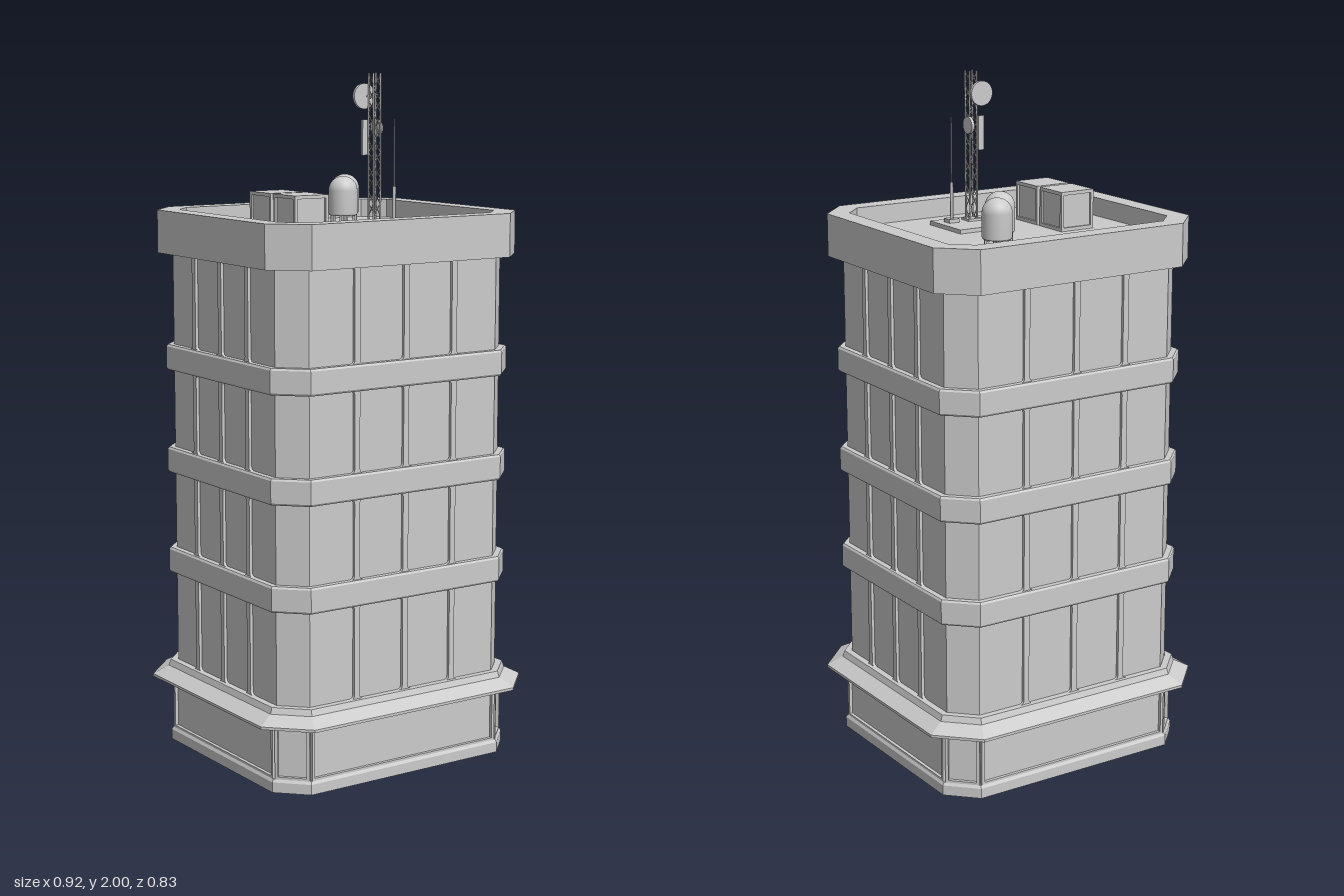
import * as THREE from 'three';

const grey = new THREE.MeshStandardMaterial({ color: 0xcccccc, side: THREE.DoubleSide });
const FLOOR = 1.55; // roof deck height

// Chamfered rectangular footprint, offset outward by d
function ring(d) {
  const x = 0.41 + d, z = 0.365 + d, c = 0.08 + 0.586 * d;
  return [[x, z - c], [x - c, z], [c - x, z], [-x, z - c], [-x, c - z], [c - x, -z], [x - c, -z], [x, c - z]];
}

// Skin through footprint rings; profile is a list of [offset, y]
function shell(profile) {
  const pos = [];
  for (let k = 0; k + 1 < profile.length; k++) {
    const [d0, y0] = profile[k], [d1, y1] = profile[k + 1];
    const lo = ring(d0), hi = ring(d1);
    for (let i = 0; i < 8; i++) {
      const j = (i + 1) % 8;
      const a = [lo[i][0], y0, lo[i][1]], b = [lo[j][0], y0, lo[j][1]];
      const p = [hi[i][0], y1, hi[i][1]], q = [hi[j][0], y1, hi[j][1]];
      pos.push(...a, ...p, ...b, ...b, ...p, ...q);
    }
  }
  const g = new THREE.BufferGeometry();
  g.setAttribute('position', new THREE.Float32BufferAttribute(pos, 3));
  g.computeVertexNormals();
  return g;
}

function add(parent, name, geometry, x = 0, y = 0, z = 0) {
  const m = new THREE.Mesh(geometry, grey);
  m.name = name;
  m.position.set(x, y, z);
  parent.add(m);
  return m;
}

const box = (w, h, d) => new THREE.BoxGeometry(w, h, d);

// Thin round bar between two points
function bar(parent, name, a, b, r) {
  const from = new THREE.Vector3(...a), to = new THREE.Vector3(...b);
  const dir = to.clone().sub(from);
  const m = add(parent, name, new THREE.CylinderGeometry(r, r, dir.length(), 6));
  m.position.copy(from).add(to).multiplyScalar(0.5);
  m.quaternion.setFromUnitVectors(new THREE.Vector3(0, 1, 0), dir.normalize());
}

// Calls fn(faceGroup, width, isLongSide) for each of the eight facades at offset d
function eachFace(parent, name, d, fn) {
  const pts = ring(d);
  pts.forEach(([x0, z0], i) => {
    const [x1, z1] = pts[(i + 1) % 8];
    const g = new THREE.Group();
    g.name = name;
    g.position.set((x0 + x1) / 2, 0, (z0 + z1) / 2);
    g.rotation.y = Math.atan2(z1 - z0, x0 - x1);
    // outward normal of the edge
    g.rotation.y = Math.atan2(z1 - z0, -(x1 - x0));
    parent.add(g);
    fn(g, Math.hypot(x1 - x0, z1 - z0), i % 2 === 1);
  });
}

// Upright fin whose ends flare into rounded window corners
function mullion(h) {
  const w = 0.009, f = 0.02, r = 0.012, s = new THREE.Shape();
  s.moveTo(-f, 0);
  s.lineTo(f, 0);
  s.quadraticCurveTo(w, 0, w, r);
  s.lineTo(w, h - r);
  s.quadraticCurveTo(w, h, f, h);
  s.lineTo(-f, h);
  s.quadraticCurveTo(-w, h, -w, h - r);
  s.lineTo(-w, r);
  s.quadraticCurveTo(-w, 0, -f, 0);
  return new THREE.ExtrudeGeometry(s, { depth: 0.009, bevelEnabled: false, curveSegments: 4 });
}

// Rectangular frame with an open middle
function frame(w, y0, y1, t) {
  const rect = (P, x, a, b) => new P().moveTo(-x, a).lineTo(x, a).lineTo(x, b).lineTo(-x, b).closePath();
  const s = rect(THREE.Shape, w / 2, y0, y1);
  s.holes.push(rect(THREE.Path, w / 2 - t, y0 + t, y1 - t));
  return new THREE.ExtrudeGeometry(s, { depth: 0.01, bevelEnabled: false });
}

function tower(root) {
  // Ground storey, open underneath
  add(root, 'groundFloorWall', shell([[-0.015, 0], [-0.015, 0.2]]));
  add(root, 'plinth', shell([[-0.015, 0], [0, 0], [0, 0.03], [-0.005, 0.038], [-0.015, 0.038]]));
  eachFace(root, 'groundFloorFacade', -0.015, (g, w) => add(g, 'groundFloorFrame', frame(w, 0.036, 0.2, 0.009)));
  add(root, 'canopy', shell([[-0.02, 0.2], [0.05, 0.2], [0.05, 0.208], [0.006, 0.232], [0, 0.25], [-0.02, 0.25]]));

  // Upper storeys with bands and mullions
  add(root, 'upperWall', shell([[-0.021, 0.2], [-0.021, 1.5]]));
  const bands = [[0.523, 0.598], [0.828, 0.903], [1.135, 1.21]];
  for (const [y0, y1] of bands)
    add(root, 'floorBand', shell([[-0.021, y0], [-0.004, y0], [0, y0 + 0.006], [0, y1 - 0.006], [-0.004, y1], [-0.021, y1]]));
  const storeys = [[0.25, 0.523], [0.598, 0.828], [0.903, 1.135], [1.21, 1.48]];
  eachFace(root, 'facade', -0.021, (g, w, long) => {
    if (!long && w < 0.2) return;
    for (const [y0, y1] of storeys)
      for (const f of [-0.26, 0, 0.26]) add(g, 'mullion', mullion(y1 - y0), f * w, y0, 0);
  });

  // Parapet and roof deck
  add(root, 'parapet', shell([[-0.021, 1.48], [0.02, 1.48], [0.02, 1.605], [-0.04, 1.605], [-0.04, FLOOR]]));
  const deck = new THREE.Shape(ring(-0.04).map(([x, z]) => new THREE.Vector2(x, -z)));
  add(root, 'roofDeck', new THREE.ShapeGeometry(deck).rotateX(-Math.PI / 2), 0, FLOOR, 0);
}

// Roof ventilation cabinet with raised edges
function cabinet(root, x, z) {
  const g = new THREE.Group();
  g.name = 'ventilationCabinet';
  g.position.set(x, FLOOR, z);
  root.add(g);
  add(g, 'cabinetBody', box(0.1, 0.11, 0.1), 0, 0.056, 0);
  for (const y of [0.005, 0.11]) add(g, 'cabinetRim', box(0.112, 0.01, 0.112), 0, y, 0);
  for (const sx of [-1, 1]) for (const sz of [-1, 1])
    add(g, 'cabinetPost', box(0.009, 0.1, 0.009), sx * 0.0515, 0.056, sz * 0.0515);
}

// Domed water tank on four legs
function tank(root, x, z) {
  const g = new THREE.Group();
  g.name = 'waterTank';
  g.position.set(x, FLOOR, z);
  root.add(g);
  const p = [new THREE.Vector2(0, 0.03), new THREE.Vector2(0.04, 0.03), new THREE.Vector2(0.043, 0.035)];
  for (let i = 0; i <= 8; i++) {
    const a = i / 8 * Math.PI / 2;
    p.push(new THREE.Vector2(0.043 * Math.cos(a), 0.103 + 0.042 * Math.sin(a)));
  }
  add(g, 'tankBody', new THREE.LatheGeometry(p, 32));
  for (let i = 0; i < 4; i++) {
    const a = Math.PI / 4 + i * Math.PI / 2;
    add(g, 'tankLeg', new THREE.CylinderGeometry(0.004, 0.004, 0.036, 8), 0.033 * Math.cos(a), 0.017, 0.033 * Math.sin(a));
  }
}

// Lattice mast with dishes, panels and a whip aerial
function mast(root) {
  const g = new THREE.Group();
  g.name = 'antennaMast';
  root.add(g);
  add(g, 'mastPlatform', box(0.168, 0.012, 0.168), 0.038, FLOOR + 0.006, 0.146);
  add(g, 'mastFoot', box(0.045, 0.008, 0.042), 0.011, FLOOR + 0.015, 0.176);
  const cx = 0.012, cz = 0.176, s = 0.012, y0 = FLOOR + 0.012, n = 12, step = 0.036;
  const corners = [[1, 1], [-1, 1], [-1, -1], [1, -1]].map(([x, z]) => [cx + x * s, cz + z * s]);
  corners.forEach(([x, z], i) => {
    const [x2, z2] = corners[(i + 1) % 4];
    bar(g, 'mastLeg', [x, y0, z], [x, 2, z], 0.0028);
    for (let k = 0; k < n; k++) {
      const a = y0 + k * step, b = a + step, flip = k % 2;
      bar(g, 'mastBrace', flip ? [x2, a, z2] : [x, a, z], flip ? [x, b, z] : [x2, b, z2], 0.0015);
    }
  });
  const disc = (r) => new THREE.CylinderGeometry(r, r, 0.009, 24);
  add(g, 'rearDish', disc(0.036).rotateX(Math.PI / 2), -0.008, 1.935, 0.152);
  add(g, 'sideDish', disc(0.025).rotateZ(Math.PI / 2), 0.033, 1.845, 0.156);
  bar(g, 'dishArm', [0, 1.935, 0.152], [0, 1.935, 0.164], 0.003);
  bar(g, 'dishArm', [0.033, 1.845, 0.164], [0.024, 1.845, 0.164], 0.003);
  add(g, 'panelAntenna', box(0.02, 0.1, 0.008), -0.009, 1.82, 0.158);

  add(g, 'whipFoot', box(0.035, 0.012, 0.032), 0.078, FLOOR + 0.017, 0.18);
  bar(g, 'whipSleeve', [0.078, FLOOR, 0.18], [0.078, 1.68, 0.18], 0.005);
  bar(g, 'whipAerial', [0.078, 1.68, 0.18], [0.078, 1.87, 0.18], 0.002);
}

export function createModel() {
  const root = new THREE.Group();
  root.name = 'officeTower';
  tower(root);
  for (const z of [-0.015, 0.111]) cabinet(root, -0.195, z);
  tank(root, 0.152, -0.178);
  tank(root, 0.09, -0.097);
  mast(root);
  return root;
}
